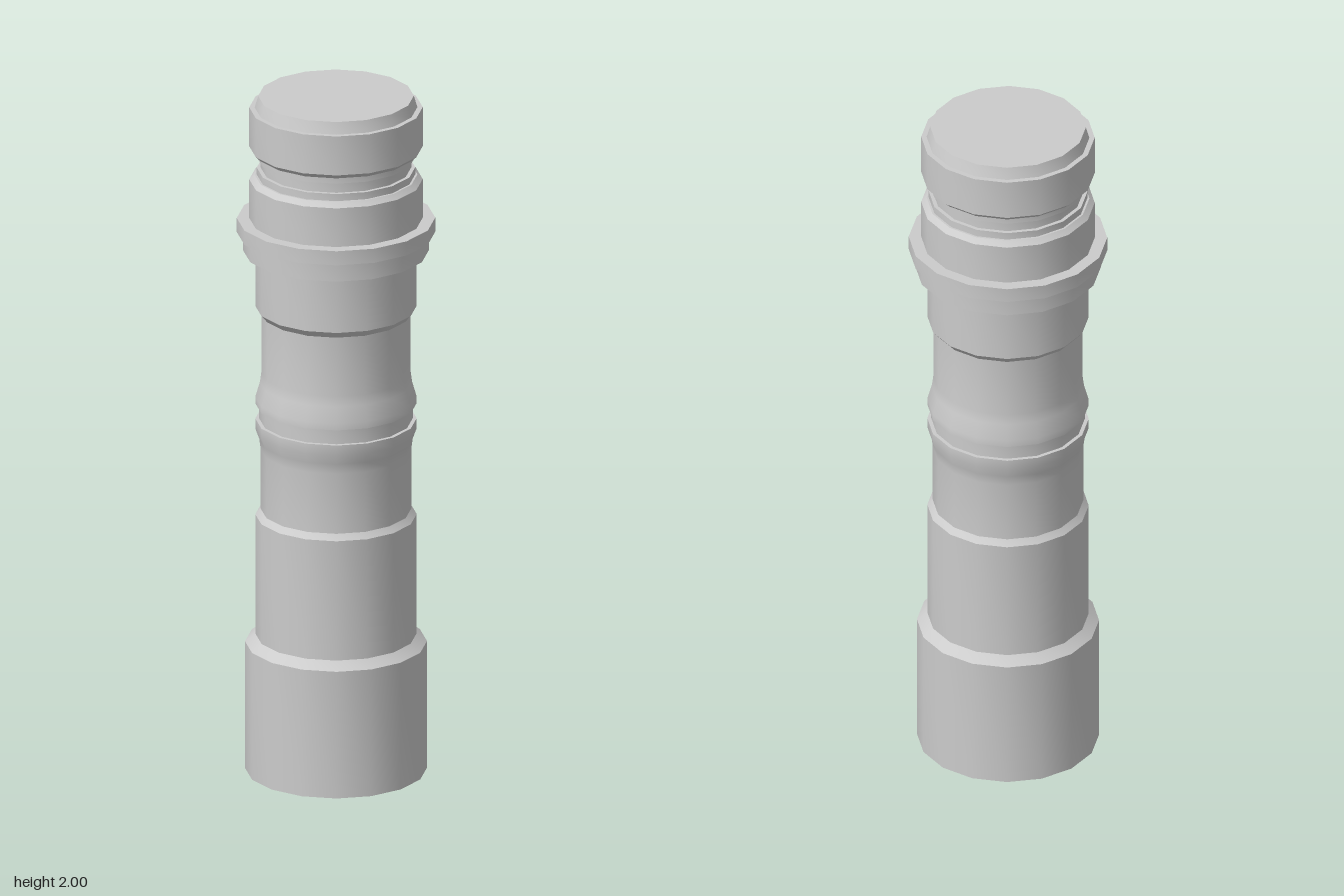
import * as THREE from 'three';
import { toCreasedNormals } from 'three/addons/utils/BufferGeometryUtils.js';

const SIDES = 16;

// Consecutive sections of one turned profile, as [radius, height] from bottom to top.
// Each section starts where the one below it ends, so the shell is closed.
const SECTIONS = {
  pommel: [[0, 0], [0.255, 0], [0.255, 0.377], [0.226, 0.4]],
  lowerGrip: [[0.226, 0.755], [0.211, 0.772]],
  lowerWaist: [[0.211, 0.95], [0.215, 0.98], [0.226, 1.01], [0.226, 1.04]],
  middleGroove: [[0.215, 1.04], [0.215, 1.085], [0.226, 1.085]],
  upperWaist: [[0.226, 1.105], [0.213, 1.15], [0.209, 1.18], [0.209, 1.355]],
  upperGrip: [[0.226, 1.375], [0.226, 1.54]],
  lowerFlange: [[0.26, 1.54], [0.26, 1.595]],
  upperFlange: [[0.278, 1.595], [0.278, 1.637], [0.243, 1.637]],
  collar: [[0.243, 1.752], [0.228, 1.766]],
  neckGrooves: [
    [0.222, 1.766], [0.222, 1.787], [0.211, 1.787], [0.211, 1.818],
    [0.222, 1.818], [0.222, 1.836], [0.228, 1.836],
  ],
  head: [[0.243, 1.85], [0.243, 1.966], [0.228, 1.966]],
  topCap: [[0.218, 2], [0, 2]],
};

export function createModel() {
  const group = new THREE.Group();
  const material = new THREE.MeshStandardMaterial({ color: 0xcccccc });

  let joint = []; // last ring of the section below
  for (const [name, ring] of Object.entries(SECTIONS)) {
    const profile = [...joint, ...ring].map(([r, y]) => new THREE.Vector2(r, y));
    const lathe = new THREE.LatheGeometry(profile, SIDES);
    const mesh = new THREE.Mesh(toCreasedNormals(lathe, Math.PI / 6), material);
    mesh.name = name;
    group.add(mesh);
    joint = [ring[ring.length - 1]];
  }
  return group;
}
